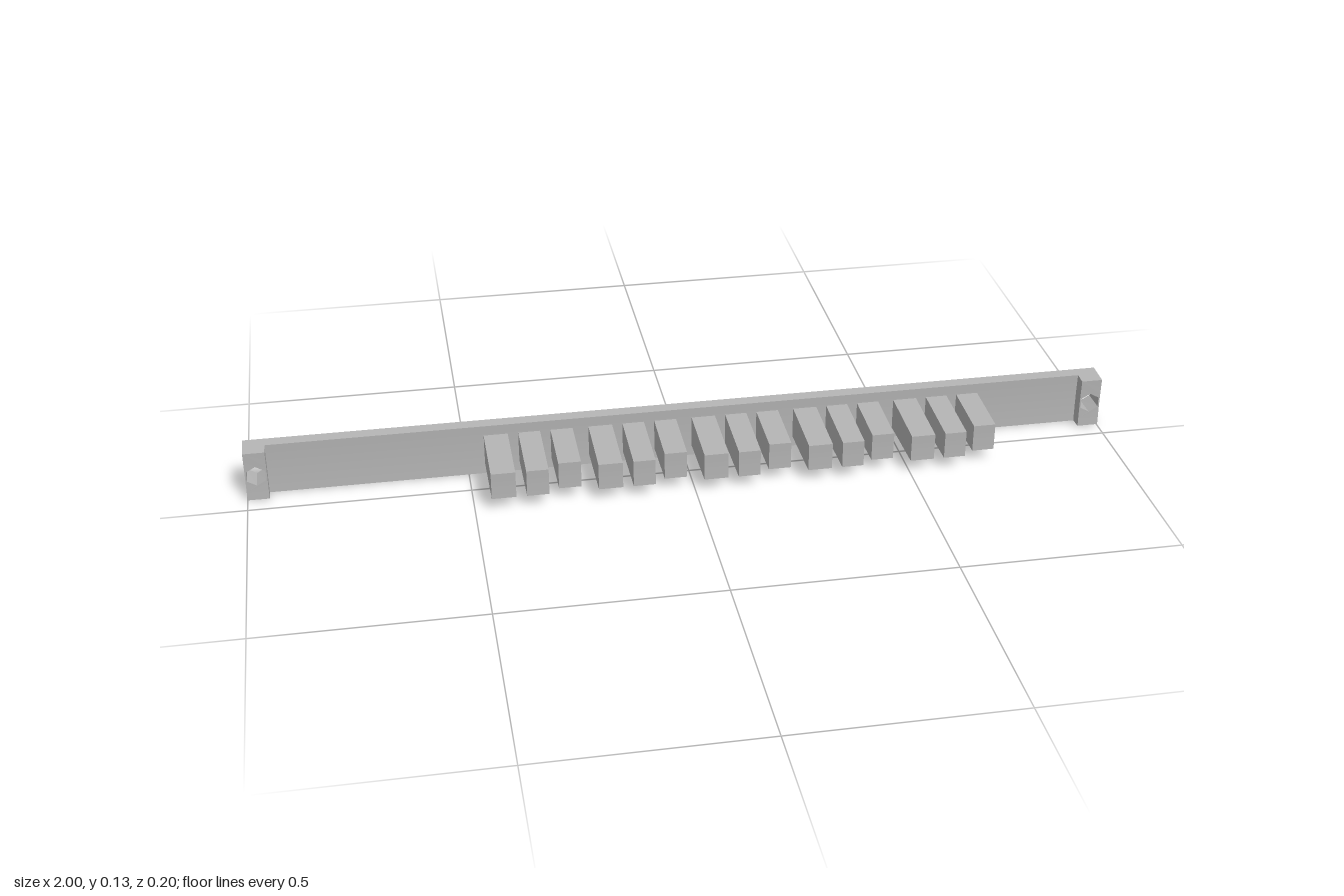
import * as THREE from 'three';

// Every part is a slice of a ring whose axis runs along x, in front of the model
const AXIS_Y = 0.063, AXIS_Z = 1.1;
const R_BACK = 1.198, R_PLATE = 1.17, R_TAB = 1.14, R_LONG = 1.0025, R_SHORT = 1.0235;
const HALF_PLATE = 0.0525, HALF_FINGER = 0.0315, ARC_STEPS = 6;

// Bar along x with a ring-sector cross-section between two radii
function sectorBar(rOuter, rInner, half, x0, width) {
  const pts = [];
  const arc = (r, sign) => {
    for (let i = 0; i <= ARC_STEPS; i++) {
      const t = sign * half * (2 * i / ARC_STEPS - 1);
      pts.push(new THREE.Vector2(r * Math.cos(t) - AXIS_Z, AXIS_Y + r * Math.sin(t)));
    }
  };
  arc(rOuter, 1);
  arc(rInner, -1);
  const geo = new THREE.ExtrudeGeometry(new THREE.Shape(pts), { depth: width, bevelEnabled: false });
  return geo.rotateY(Math.PI / 2).translate(x0, 0, 0);
}

// Thick end block with a radial bolt hole, bent onto the ring
function endTab(x0, x1) {
  const pts = [], mid = (R_BACK + R_TAB) / 2, h = HALF_PLATE * mid;
  for (let i = 0; i <= ARC_STEPS; i++) pts.push(new THREE.Vector2(x1, h * (2 * i / ARC_STEPS - 1)));
  for (let i = 0; i <= ARC_STEPS; i++) pts.push(new THREE.Vector2(x0, h * (1 - 2 * i / ARC_STEPS)));
  const shape = new THREE.Shape(pts);
  const hole = [];
  for (let i = 0; i < 6; i++) {
    const a = Math.PI / 2 - i * Math.PI / 3;
    hole.push(new THREE.Vector2((x0 + x1) / 2 + 0.0245 * Math.cos(a), 0.0245 * Math.sin(a)));
  }
  shape.holes.push(new THREE.Path(hole));
  const geo = new THREE.ExtrudeGeometry(shape, { depth: 1, bevelEnabled: false });
  const p = geo.attributes.position;
  for (let i = 0; i < p.count; i++) {
    const t = p.getY(i) / mid;
    const r = THREE.MathUtils.lerp(R_BACK, R_TAB, p.getZ(i));
    p.setXYZ(i, p.getX(i), AXIS_Y + r * Math.sin(t), AXIS_Z - r * Math.cos(t));
  }
  geo.computeVertexNormals();
  return geo;
}

export function createModel() {
  const model = new THREE.Group();
  model.name = 'fingerBar';
  const grey = new THREE.MeshStandardMaterial({ color: 0xb4b4b4 });
  grey.name = 'plainGrey';
  const add = (geo, name) => {
    const mesh = new THREE.Mesh(geo, grey);
    mesh.name = name;
    model.add(mesh);
  };

  // Long back plate between the two end tabs
  add(sectorBar(R_BACK, R_PLATE, HALF_PLATE, -0.951, 1.902), 'backPlate');
  add(endTab(0.951, 1), 'leftEndTab');
  add(endTab(-1, -0.951), 'rightEndTab');

  // Five sets of fingers: two long, one short
  const set = [[0, 0.055, R_LONG], [0.079, 0.05, R_LONG], [0.153, 0.051, R_SHORT]];
  for (let i = 0; i < 5; i++) {
    for (const [offset, width, r] of set) {
      add(sectorBar(R_PLATE, r, HALF_FINGER, -0.462 + i * 0.2405 + offset, width),
        r === R_LONG ? 'longFinger' : 'shortFinger');
    }
  }
  return model;
}
